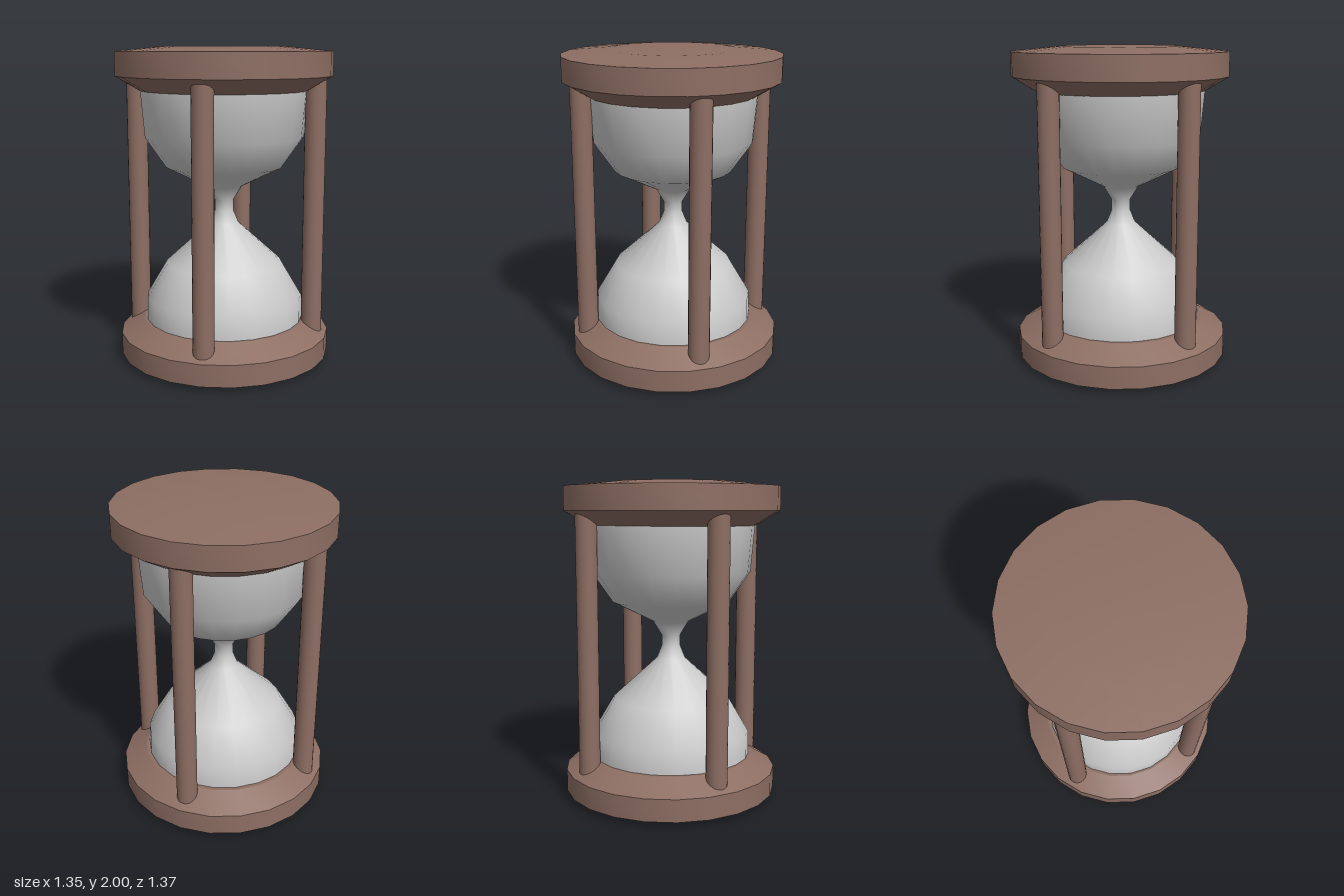
import * as THREE from 'three';
import { toCreasedNormals } from 'three/addons/utils/BufferGeometryUtils.js';

const SIDES = 22;
const wood = new THREE.MeshStandardMaterial({ color: 0x8d6e63 });
const glass = new THREE.MeshStandardMaterial({ color: 0xcccccc });

// Turned part from [radius, height] pairs listed from bottom to top
function turned(name, profile, material, crease) {
  const points = profile.map(([r, y]) => new THREE.Vector2(r, y));
  const geometry = toCreasedNormals(new THREE.LatheGeometry(points, SIDES), crease);
  const mesh = new THREE.Mesh(geometry, material);
  mesh.name = name;
  return mesh;
}

export function createModel() {
  const model = new THREE.Group();
  model.name = 'hourglass';

  // End plates: shallow crown, straight rim, bevel towards the glass
  const base = turned('basePlate', [
    [0.015, 0], [0.38, 0], [0.68, 0.03], [0.68, 0.17], [0.53, 0.255], [0.45, 0.255],
  ], wood, 0.5);
  base.position.z = -0.007;
  const top = turned('topPlate', [
    [0.45, 1.73], [0.53, 1.73], [0.68, 1.82], [0.68, 1.97], [0.38, 2], [0, 2],
  ], wood, 0.5);
  top.position.z = 0.007;
  model.add(base, top);

  // Two glass bulbs joined by a narrow neck
  model.add(turned('glassBulbs', [
    [0.51, 0.25], [0.505, 0.4], [0.375, 0.62], [0.092, 0.88], [0.06, 0.96],
    [0.06, 1.03], [0.115, 1.12], [0.375, 1.25], [0.505, 1.44], [0.53, 1.735],
  ], glass, 1.2));

  // Four round posts set into the bevels of the plates
  const postGeometry = new THREE.CylinderGeometry(0.066, 0.066, 1.66, 20);
  for (let i = 0; i < 4; i++) {
    const angle = (i * Math.PI) / 2;
    const post = new THREE.Mesh(postGeometry, wood);
    post.name = `post${i + 1}`;
    post.position.set(0.577 * Math.sin(angle), 1, 0.577 * Math.cos(angle));
    model.add(post);
  }
  return model;
}
